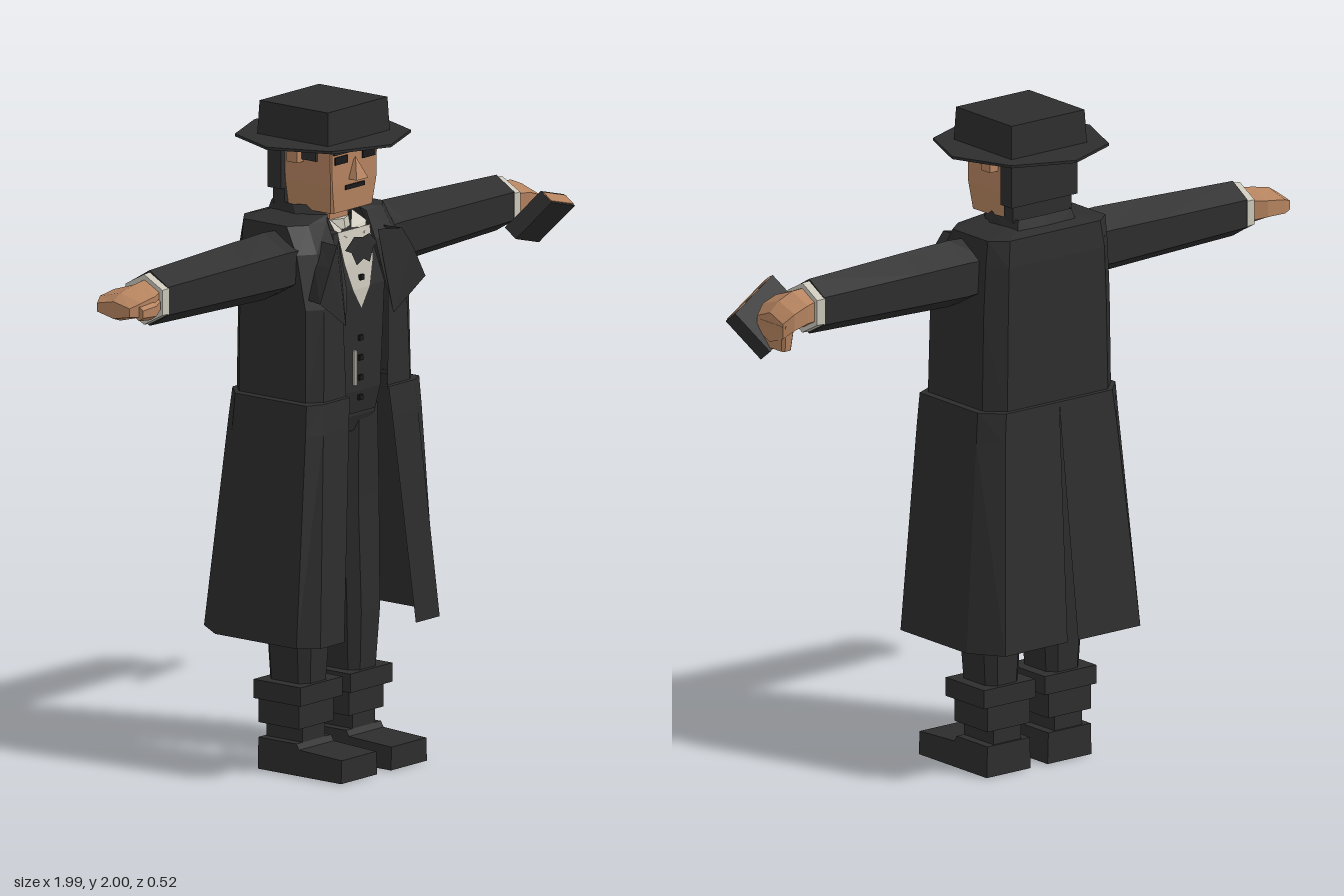
import * as THREE from 'three';

const mat = (name, color) => {
  const m = new THREE.MeshStandardMaterial({ color, flatShading: true, side: THREE.DoubleSide });
  m.name = name;
  return m;
};

export function createModel() {
  const cloth = mat('black cloth', 0x2d2d2d);
  const skin = mat('skin', 0xb5835f);
  const linen = mat('linen', 0xc9c5b8);
  const ink = mat('ink', 0x1b1a1a);

  const model = new THREE.Group();
  const body = new THREE.Group();
  body.name = 'body';
  body.position.x = -0.035;
  model.add(body);

  const add = (name, geometry, material, parent = body) => {
    const m = new THREE.Mesh(geometry, material);
    m.name = name;
    parent.add(m);
    return m;
  };
  const fromTriangles = (tris) => {
    const g = new THREE.BufferGeometry();
    g.setAttribute('position', new THREE.Float32BufferAttribute(tris.flat(), 3));
    g.computeVertexNormals();
    return g;
  };
  // Joins cross-sections; closed sections also get end caps
  const loft = (sections, closed = true) => {
    const tris = [], n = sections[0].length;
    for (let i = 0; i < sections.length - 1; i++) {
      const a = sections[i], b = sections[i + 1];
      for (let j = 0; j < (closed ? n : n - 1); j++) {
        const k = (j + 1) % n;
        tris.push(a[j], b[j], b[k], a[j], b[k], a[k]);
      }
    }
    if (closed) {
      const last = sections[sections.length - 1], first = sections[0];
      for (let j = 1; j < n - 1; j++) {
        tris.push(first[0], first[j], first[j + 1], last[0], last[j + 1], last[j]);
      }
    }
    return fromTriangles(tris);
  };
  const fan = (pts) => fromTriangles(pts.slice(1, -1).flatMap((p, i) => [pts[0], p, pts[i + 2]]));
  // Box given by its limits, with optional scaling of the top face
  const box = (name, material, [x0, x1], [y0, y1], [z0, z1], top = 1) => {
    const g = new THREE.BoxGeometry(Math.abs(x1 - x0), y1 - y0, z1 - z0);
    const p = g.attributes.position;
    for (let i = 0; i < p.count; i++) {
      if (p.getY(i) > 0) p.setXYZ(i, p.getX(i) * top, p.getY(i), p.getZ(i) * top);
    }
    g.computeVertexNormals();
    const m = add(name, g, material);
    m.position.set((x0 + x1) / 2, (y0 + y1) / 2, (z0 + z1) / 2);
    return m;
  };
  const level = (s, y, pts) => pts.map(([x, z]) => [s * x, y, z]);
  // Chamfered rectangle lying across the y axis
  const ring = (cx, y, hw, z0, z1, c) => [
    [-hw + c, z0], [hw - c, z0], [hw, z0 + c], [hw, z1 - c],
    [hw - c, z1], [-hw + c, z1], [-hw, z1 - c], [-hw, z0 + c],
  ].map(([x, z]) => [cx + x, y, z]);
  // Pointed hexagon across the x axis
  const hex = (x, y, hy, hz, z = 0) => [[1, 0], [.5, 1], [-.5, 1], [-1, 0], [-.5, -1], [.5, -1]]
    .map(([a, b]) => [x, y + a * hy, z + b * hz]);

  // Hat
  box('hatCrown', cloth, [-.14, .145], [1.9, 2], [-.135, .135], .965);
  const brim = add('hatBrim', new THREE.CylinderGeometry(.26, .26, .008, 8), cloth);
  brim.position.set(0, 1.896, 0);

  // Head
  add('face', loft([ring(0, 1.685, .095, -.06, .115, .008), ring(0, 1.77, .106, -.06, .12, .004),
    ring(0, 1.895, .108, -.06, .12, .004)]), skin);
  box('backHair', cloth, [-.124, .124], [1.74, 1.895], [-.11, -.058]);
  box('napeHair', cloth, [-.11, .11], [1.69, 1.74], [-.1, -.056]);
  add('nose', new THREE.ConeGeometry(.038, .065, 4, 1).rotateY(Math.PI / 4), skin)
    .position.set(0, 1.812, .124);
  box('mouth', ink, [-.043, .043], [1.75, 1.763], [.116, .124]);
  box('neck', skin, [-.042, .042], [1.6, 1.7], [-.03, .06]);
  for (const s of [1, -1]) {
    box('ear', skin, [s * .105, s * .138], [1.832, 1.885], [-.025, .015]);
    box('sideburn', cloth, [s * .104, s * .116], [1.84, 1.895], [.012, .068]);
    box('eyebrow', cloth, [s * .03, s * .098], [1.862, 1.882], [.118, .126]);
    box('eye', ink, [s * .035, s * .092], [1.832, 1.855], [.118, .124]);
  }

  // Vest and trouser top
  add('vest', loft([ring(0, 1.07, .12, -.12, .125, .03), ring(0, 1.14, .125, -.13, .14, .03),
    ring(0, 1.45, .14, -.13, .14, .025), ring(0, 1.62, .1, -.1, .105, .02)]), cloth);
  add('trouserTop', loft([ring(0, 1.01, .05, -.09, .1, .01), ring(0, 1.06, .115, -.12, .12, .02),
    ring(0, 1.1, .115, -.12, .12, .02)]), cloth);
  for (const y of [1.12, 1.18, 1.24, 1.3]) box('vestButton', ink, [-.008, .008], [y - .008, y + .008], [.138, .148]);
  box('watchChain', linen, [-.031, -.021], [1.16, 1.265], [.138, .147]);

  // Shirt front, collar and bow tie
  const shirt = [[1.39, .002, .147], [1.45, .04, .147], [1.53, .066, .137], [1.625, .075, .117]];
  add('shirtFront', loft(shirt.map(([y, w, z]) => [[-w, y, z], [w, y, z]]), false), linen);
  box('shirtButton', ink, [-.008, .008], [1.475, 1.491], [.143, .152]);
  add('shirtCollar', new THREE.CylinderGeometry(.06, .07, .06, 8), linen).position.set(0, 1.62, .02);
  for (const s of [1, -1]) {
    add('collarPoint', fan([[s * .02, 1.62, .09], [s * .06, 1.665, .06], [s * .08, 1.635, .1], [s * .04, 1.605, .125]]), linen);
    add('bowTie', fan([[0, 1.605, .152], [s * .035, 1.61, .148], [s * .075, 1.575, .146],
      [s * .05, 1.565, .15], [s * .03, 1.525, .154], [0, 1.54, .155]]), cloth);
  }

  for (const s of [1, -1]) {
    // Coat, one half at a time, open at the front
    add('coatBody', loft([
      level(s, 1.13, [[0, -.172], [.19, -.172], [.243, -.12], [.243, .135], [.2, .168], [.095, .168]]),
      level(s, 1.42, [[0, -.17], [.185, -.17], [.238, -.12], [.238, .13], [.19, .162], [.105, .162]]),
      level(s, 1.58, [[0, -.168], [.18, -.168], [.23, -.12], [.23, .09], [.18, .125], [.09, .125]]),
      level(s, 1.66, [[0, -.16], [.17, -.16], [.222, -.12], [.222, .045], [.17, .085], [.09, .09]]),
      level(s, 1.675, [[0, -.1], [.1, -.1], [.11, -.08], [.11, .03], [.09, .06], [.07, .075]]),
    ], false), cloth);
    add('coatSkirt', loft([
      level(s, .42, [[.02, -.243], [.255, -.243], [.322, -.145], [.322, .165], [.275, .218], [.165, .218]]),
      level(s, 1.05, [[.002, -.187], [.21, -.187], [.268, -.123], [.268, .155], [.218, .182], [.1, .182]]),
      level(s, 1.14, [[0, -.18], [.2, -.18], [.26, -.12], [.26, .152], [.21, .176], [.09, .176]]),
      level(s, 1.145, [[0, -.165], [.19, -.165], [.235, -.115], [.235, .13], [.19, .16], [.095, .16]]),
    ], false), cloth);
    add('coatCollar', loft([
      level(s, 1.63, [[0, -.135], [.12, -.13], [.135, .02], [.075, .105]]),
      level(s, 1.7, [[0, -.115], [.1, -.112], [.115, -.02], [.075, .06]]),
    ], false), cloth);
    add('lapel', fan([[s * .11, 1.36, .178], [s * .243, 1.45, .19], [s * .19, 1.55, .186],
      [s * .15, 1.61, .178], [s * .09, 1.61, .135], [s * .092, 1.46, .168]]), cloth);
    add('lapelEdge', loft([[[s * .243, 1.45, .19], [s * .19, 1.55, .186], [s * .15, 1.61, .178]],
      [[s * .225, 1.45, .13], [s * .185, 1.55, .12], [s * .14, 1.61, .1]]], false), cloth);

    // Sleeve and cuff
    add('sleeve', loft([hex(s * .19, 1.545, .095, .09), hex(s * .275, 1.543, .102, .088),
      hex(s * .45, 1.543, .096, .084), hex(s * .8, 1.542, .084, .07)]), cloth);
    add('shirtCuff', loft([hex(s * .798, 1.542, .078, .072), hex(s * .826, 1.542, .076, .07)]), linen);

    // Trouser leg and boot
    const x = s * .115;
    add('trouserLeg', loft([ring(x, .25, .06, -.075, .075, .025), ring(x, .45, .073, -.085, .087, .03),
      ring(s * .09, .8, .078, -.1, .1, .03), ring(s * .07, 1.08, .062, -.11, .115, .02)]), cloth);
    box('bootCuff', cloth, [x - .097, x + .097], [.215, .272], [-.09, .09]);
    box('bootShaft', cloth, [x - .08, x + .08], [.14, .217], [-.085, .07]);
    box('bootAnkle', cloth, [x - .052, x + .052], [.09, .142], [-.078, .06]);
    const sole = (z, h) => [[x - .083, 0, z], [x + .083, 0, z], [x + .08, h, z], [x - .08, h, z]];
    add('bootFoot', loft([sole(-.085, .095), sole(.06, .095), sole(.07, .078), sole(.233, .07)]), cloth);
  }

  // Right hand, flat and open
  add('rightHand', loft([hex(-.82, 1.542, .06, .055), hex(-.87, 1.545, .05, .078),
    hex(-.935, 1.54, .042, .078), hex(-.967, 1.535, .026, .062)]), skin);
  add('rightThumb', loft([hex(-.835, 1.535, .025, .02, .05), hex(-.88, 1.53, .03, .022, .07),
    hex(-.94, 1.53, .022, .016, .075)]), skin);

  // Left hand, fingers curled around the book
  add('leftHand', loft([hex(.82, 1.542, .06, .055), hex(.865, 1.545, .055, .075),
    hex(.915, 1.53, .05, .075), hex(.948, 1.505, .045, .06)]), skin);
  add('leftFingers', loft([ring(.925, 1.44, .018, -.055, .05, .008), ring(.925, 1.52, .024, -.065, .06, .008)]), skin);

  // Book: its local x runs along the spine, local y points to the open edge
  const book = new THREE.Group();
  book.name = 'book';
  const u = new THREE.Vector3(.21, -.06, -.085).normalize();
  const v = new THREE.Vector3(.065, .11, .083);
  v.addScaledVector(u, -v.dot(u)).normalize();
  book.quaternion.setFromRotationMatrix(
    new THREE.Matrix4().makeBasis(u, v, new THREE.Vector3().crossVectors(u, v)));
  book.position.set(.845, 1.5, .1);
  model.add(book);
  add('bookCover', new THREE.BoxGeometry(.234, .153, .048), cloth, book);
  add('bookPages', new THREE.BoxGeometry(.226, .006, .036), skin, book).position.y = .076;

  // Centre the whole figure on the ground
  const bounds = new THREE.Box3().setFromObject(model);
  const mid = bounds.getCenter(new THREE.Vector3());
  for (const part of model.children) part.position.sub(new THREE.Vector3(mid.x, bounds.min.y, 0));
  return model;
}
